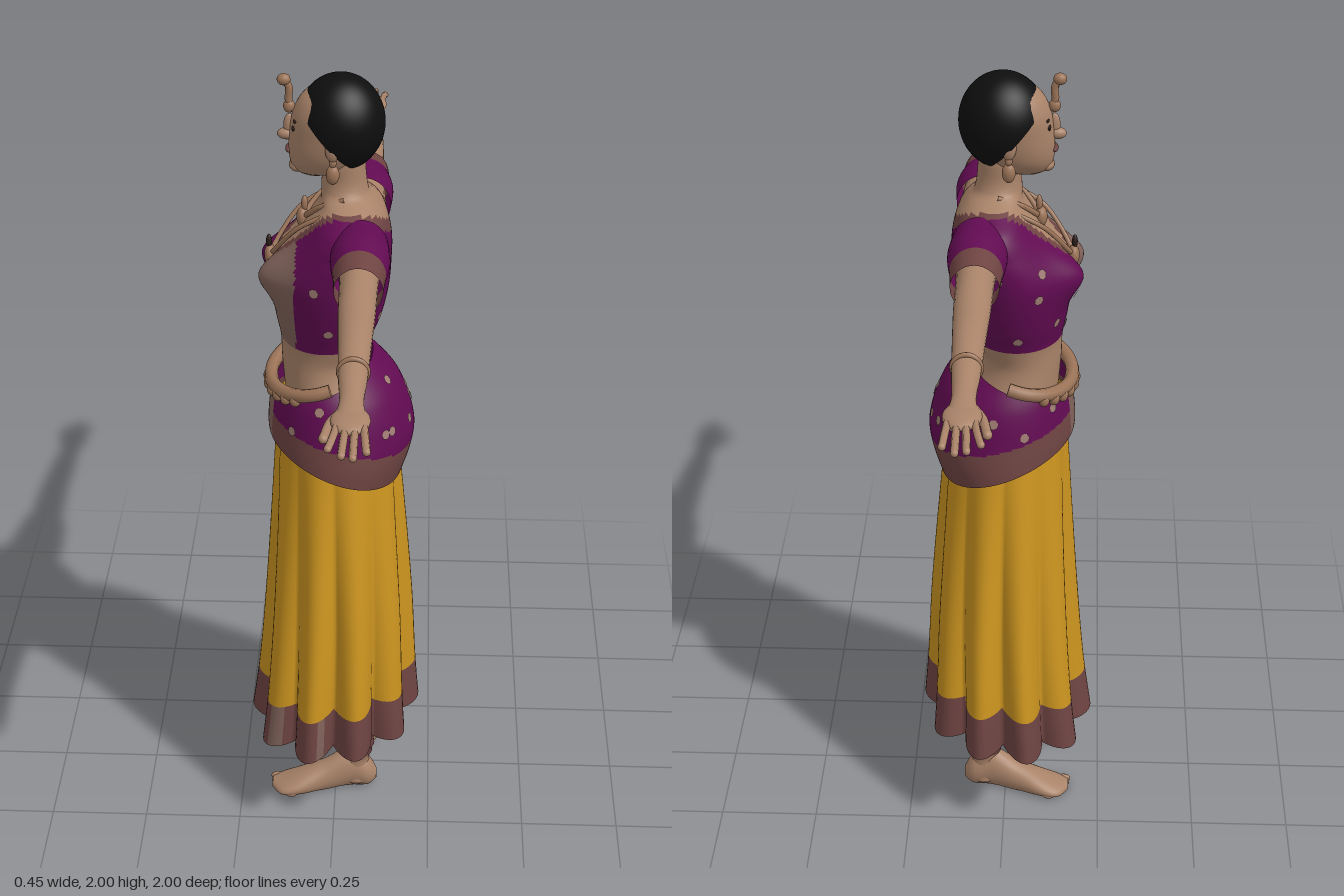
import * as THREE from 'three';

const colours = {
  skin: 0xa98369, purple: 0x620b52, yellow: 0xca931f, brown: 0x6e4442, hair: 0x0e0e0e,
  sheer: 0x80625a, spot: 0xa07c74, ornament: 0x9c7458, dark: 0x2a1d1a,
};
const mats = {};
for (const [name, color] of Object.entries(colours)) {
  mats[name] = new THREE.MeshStandardMaterial({ color, side: THREE.DoubleSide });
  mats[name].name = name;
}
const { sin, cos, abs, PI, exp, max } = Math;

// Smoothly interpolates rows of [position, ...values]
function profile(rows, p) {
  let i = 0;
  while (i < rows.length - 2 && p > rows[i + 1][0]) i++;
  const a = rows[i], b = rows[i + 1], o = rows[max(i - 1, 0)], e = rows[Math.min(i + 2, rows.length - 1)];
  const h = b[0] - a[0], t = THREE.MathUtils.clamp((p - a[0]) / h, 0, 1), t2 = t * t, t3 = t2 * t;
  return a.slice(1).map((v, k) => {
    const m0 = (b[k + 1] - o[k + 1]) / (b[0] - o[0]) * h, m1 = (e[k + 1] - v) / (e[0] - a[0]) * h;
    return (2 * t3 - 3 * t2 + 1) * v + (t3 - 2 * t2 + t) * m0 + (3 * t2 - 2 * t3) * b[k + 1] + (t3 - t2) * m1;
  });
}

// Closed rings joined along t = 0..1; pick chooses the colour of each face
function loft(name, nu, nv, point, pick) {
  const pos = [], faces = {};
  for (let j = 0; j <= nv; j++)
    for (let i = 0; i < nu; i++) pos.push(...point(i / nu * 2 * PI, j / nv));
  for (let j = 0; j < nv; j++) for (let i = 0; i < nu; i++) {
    const u = (i + 0.5) / nu * 2 * PI, t = (j + 0.5) / nv, n = (i + 1) % nu;
    const a = j * nu + i, b = j * nu + n, c = a + nu, d = b + nu;
    const key = typeof pick === 'string' ? pick : pick(u, t, point(u, t));
    (faces[key] ??= []).push(a, b, d, a, d, c);
  }
  const g = new THREE.BufferGeometry(), index = [], list = [];
  g.setAttribute('position', new THREE.Float32BufferAttribute(pos, 3));
  for (const [key, f] of Object.entries(faces)) {
    g.addGroup(index.length, f.length, list.length);
    list.push(mats[key]);
    for (const v of f) index.push(v);
  }
  g.setIndex(index);
  g.computeVertexNormals();
  const m = new THREE.Mesh(g, list);
  m.name = name;
  return m;
}

function solid(name, geo, mat, x = 0, y = 0, z = 0, sx = 1, sy = 1, sz = 1) {
  const m = new THREE.Mesh(geo.scale(sx, sy, sz).translate(x, y, z), mats[mat]);
  m.name = name;
  return m;
}
const ball = (name, mat, x, y, z, sx, sy, sz) =>
  solid(name, new THREE.SphereGeometry(1, 20, 14), mat, x, y, z, sx, sy, sz);
const tube = (name, mat, pts, r, n = 24) => solid(name,
  new THREE.TubeGeometry(new THREE.CatmullRomCurve3(pts.map(p => new THREE.Vector3(...p))), n, r, 8), mat);

// Copy reflected to the other side, with the winding put right
function mirrored(m) {
  const g = m.geometry.clone().scale(-1, 1, 1), ix = g.index;
  for (let i = 0; i < ix.count; i += 3) {
    const a = ix.getX(i);
    ix.setX(i, ix.getX(i + 1));
    ix.setX(i + 1, a);
  }
  const c = new THREE.Mesh(g, m.material);
  c.name = m.name.replace('left', 'right');
  return c;
}

// Horizontal section at y from rows of [y, halfWidth, back, front]
function section(rows, u, y) {
  const [w, b, f] = profile(rows, y);
  return [w * sin(u), y, (f + b) / 2 + (f - b) / 2 * cos(u)];
}

const torsoRows = [[1.2, 0.145, -0.09, 0.13], [1.28, 0.126, -0.06, 0.136], [1.335, 0.135, -0.085, 0.138],
  [1.4, 0.16, -0.11, 0.15], [1.47, 0.182, -0.125, 0.155], [1.53, 0.195, -0.13, 0.15], [1.6, 0.2, -0.13, 0.105],
  [1.66, 0.185, -0.115, 0.06], [1.69, 0.12, -0.095, 0.04], [1.715, 0.062, -0.075, 0.038], [1.8, 0.052, -0.065, 0.035]];
const hipRows = [[0.95, 0.225, -0.158, 0.155], [1.04, 0.222, -0.187, 0.165], [1.1, 0.213, -0.192, 0.172],
  [1.2, 0.192, -0.16, 0.162], [1.26, 0.16, -0.115, 0.15], [1.3, 0.132, -0.07, 0.14]];
const skirtRows = [[0.18, 0.36, -0.225, 0.23], [0.35, 0.345, -0.21, 0.207], [0.6, 0.3, -0.195, 0.185],
  [1, 0.215, -0.158, 0.158], [1.15, 0.18, -0.14, 0.15]];
const headRows = [[1.752, 0.015, 0.03, 0.075], [1.765, 0.04, -0.03, 0.1], [1.8, 0.065, -0.06, 0.113],
  [1.86, 0.08, -0.085, 0.112], [1.92, 0.083, -0.088, 0.1], [1.965, 0.06, -0.06, 0.065], [1.985, 0.01, -0.01, 0.01]];

const torsoPoint = (u, t) => {
  const p = section(torsoRows, u, 1.2 + 0.6 * t);
  if (cos(u) > 0) p[2] += 0.045 * cos(u) * exp(-(((abs(p[0]) - 0.075) / 0.055) ** 2) - ((p[1] - 1.52) / 0.06) ** 2);
  return p;
};
const hipPoint = (u, t) => {
  const low = 1.025 + 0.055 * cos(u), top = 1.245 - 0.04 * cos(u);
  return section(hipRows, u, low + (top - low) * t);
};
const skirtPoint = (u, t) => {
  const hem = 0.22 - 0.02 * cos(u) + 0.045 * sin(u) ** 2;
  const p = section(skirtRows, u, hem + (1.15 - hem) * t);
  const s = 1 - 0.23 * (1 - t) ** 0.8 * (1 - abs(cos(5 * u)));
  return [p[0] * s, p[1], p[2] * s];
};

// Small woven spots laid on a surface
function spots(name, point, list) {
  const g = new THREE.Group();
  g.name = name;
  for (const [u, t] of list) {
    const p = new THREE.Vector3(...point(u, t));
    const du = new THREE.Vector3(...point(u + 0.01, t)).sub(p), dv = new THREE.Vector3(...point(u, t + 0.01)).sub(p);
    const n = du.cross(dv).normalize();
    const m = solid('spot', new THREE.CircleGeometry(0.013, 7), 'spot');
    m.quaternion.setFromUnitVectors(new THREE.Vector3(0, 0, 1), n);
    m.position.copy(p).addScaledVector(n, 0.003);
    g.add(m);
  }
  return g;
}

export function createModel() {
  const body = new THREE.Group();
  const add = (...m) => body.add(...m);
  const pair = m => add(m, mirrored(m));

  // Torso with blouse, neckline border and bare waist
  add(loft('torsoAndBlouse', 112, 90, torsoPoint, (u, t, [x, y, z]) => {
    if (y < 1.342) return 'skin';
    const front = cos(u) > -0.1, ax = abs(x);
    const neck = front ? 1.53 + 1.6 * ax : 1.638 + 0.5 * ax;
    if (y > neck || y > 1.697) return 'skin';
    if (y > neck - (front ? 0.04 : 0.035)) return 'brown';
    return front && x > 0.015 && z > 0.095 && y < 1.63 ? 'sheer' : 'purple';
  }));
  add(spots('blouseSpots', torsoPoint, [[2.7, 0.36], [3.3, 0.3], [3.75, 0.6], [2.5, 0.62], [2.1, 0.5], [4.3, 0.45],
    [1.6, 0.35], [4.8, 0.3], [5.2, 0.5], [5.6, 0.35], [5.9, 0.45], [5.4, 0.6], [1.3, 0.55], [4.6, 0.6], [6, 0.3]]));

  // Skirt, hip wrap and belt
  add(loft('pleatedSkirt', 160, 60, skirtPoint, (u, t) =>
    t > 0.135 ? 'yellow' : abs(u - 5.9) < 0.06 || abs(u - 0.75) < 0.07 || abs(u - 1.4) < 0.04 ? 'sheer' : 'brown'));
  add(loft('hipWrap', 112, 48, hipPoint, (u, t, p) => {
    if (u < 0.4 || u > 5.95) return 'sheer';
    return p[1] > 1.105 + 0.045 * cos(u) ? 'purple' : 'brown';
  }));
  const hipSpots = [];
  for (let i = 0; i < 11; i++) hipSpots.push([0.9 + i * 0.46, 0.55 + 0.17 * ((i * 2) % 3 - 0.2)]);
  add(spots('hipSpots', hipPoint, [...hipSpots, [2.85, 0.5], [3.4, 0.5], [3.15, 0.62], [2.4, 0.52], [3.95, 0.55]]));
  const belt = [];
  for (let i = -8; i <= 8; i++) {
    const p = hipPoint(i * 0.2, 1);
    belt.push([p[0] * 1.02, p[1] + 0.015, p[2] + 0.002]);
  }
  add(tube('waistBelt', 'ornament', belt, 0.017, 60));
  for (const p of belt.slice(3, 14)) add(ball('beltBead', 'ornament', p[0], p[1] - 0.012, p[2] + 0.006, 0.016, 0.018, 0.014));

  // Arms with short banded sleeves
  const armRows = [[0.1, 1.625, 0.05, 0.055], [0.3, 1.612, 0.05, 0.045], [0.45, 1.612, 0.035, 0.042],
    [0.58, 1.608, 0.033, 0.037], [0.72, 1.594, 0.026, 0.031], [0.8, 1.587, 0.02, 0.026], [0.86, 1.582, 0.015, 0.034]];
  const sleeveRows = [[0.12, 1.617, 0.072, 0.065], [0.2, 1.62, 0.07, 0.07], [0.27, 1.614, 0.064, 0.061], [0.335, 1.61, 0.058, 0.056]];
  const limb = (rows, from, to) => (u, t) => {
    const x = from + (to - from) * t, [cy, ry, rz] = profile(rows, x);
    return [x, cy + ry * cos(u), -0.06 + rz * sin(u)];
  };
  pair(loft('leftArm', 28, 32, limb(armRows, 0.1, 0.86), 'skin'));
  pair(loft('leftSleeve', 36, 30, limb(sleeveRows, 0.12, 0.335), (u, t) => (t > 0.66 ? 'brown' : 'purple')));
  pair(solid('leftBracelet', new THREE.TorusGeometry(0.031, 0.006, 8, 28).rotateY(PI / 2), 'ornament', 0.685, 1.597, -0.06));
  pair(ball('leftBraceletCharm', 'ornament', 0.68, 1.562, -0.052, 0.011, 0.014, 0.012));

  // Hands
  pair(ball('leftPalm', 'skin', 0.865, 1.581, -0.06, 0.056, 0.016, 0.042));
  [[0.965, -0.017], [0.992, -0.045], [1, -0.069], [0.975, -0.096]].forEach(([tip, z], i) => {
    const base = -0.034 - i * 0.018;
    pair(tube('leftFinger', 'skin', [[0.875, 1.582, base], [0.93, 1.578, (base + z) / 2], [tip - 0.006, 1.568, z]], 0.0085, 8));
    pair(ball('leftFingertip', 'skin', tip - 0.0075, 1.568, z, 0.0085, 0.0085, 0.0085));
  });
  pair(tube('leftThumb', 'skin', [[0.82, 1.582, -0.045], [0.86, 1.572, -0.018], [0.91, 1.564, -0.006]], 0.0105, 10));
  pair(ball('leftThumbTip', 'skin', 0.91, 1.564, -0.006, 0.012, 0.0105, 0.0105));

  // Legs in gathered trousers, bare feet
  const legRows = [[0.02, 0.035], [0.1, 0.034], [0.12, 0.042], [0.2, 0.048], [0.28, 0.058], [0.8, 0.075]];
  pair(loft('leftLeg', 28, 60, (u, t) => {
    const y = 0.02 + 0.78 * t, r = profile(legRows, y)[0] + (y > 0.11 && y < 0.24 ? 0.003 * sin(y * 190) : 0);
    return [0.09 + r * sin(u), y, -0.055 + 1.05 * r * cos(u)];
  }, (u, t) => (t > 0.115 ? 'brown' : 'skin')));
  const footRows = [[-0.11, 0.088, 0.03, 0.012, 0.014], [-0.09, 0.089, 0.04, 0.032, 0.042], [-0.04, 0.092, 0.055, 0.036, 0.06],
    [0.03, 0.105, 0.035, 0.04, 0.045], [0.1, 0.12, 0.022, 0.05, 0.028], [0.145, 0.122, 0.014, 0.046, 0.016], [0.17, 0.112, 0.01, 0.02, 0.01]];
  pair(loft('leftFoot', 28, 28, (u, t) => {
    const z = -0.11 + 0.28 * t, [cx, cy, rx, ry] = profile(footRows, z);
    return [cx - rx * sin(u), max(0, cy + ry * cos(u)), z];
  }, 'skin'));
  for (let i = 0; i < 5; i++) pair(ball('leftToe', 'skin', 0.088 + i * 0.018, 0.011, 0.158 - i * i * 0.0025, 0.011, 0.011, 0.018));

  // Head, hair and face
  add(loft('head', 48, 36, (u, t) => section(headRows, u, 1.752 + 0.233 * t), 'skin'));
  const hair = new THREE.SphereGeometry(1, 48, 32, 0, 2 * PI, 0, 0.63 * PI).rotateX(-0.8);
  add(solid('hair', hair, 'hair', 0, 1.884, -0.008, 0.1, 0.116, 0.104));
  add(ball('nose', 'skin', 0, 1.852, 0.119, 0.015, 0.014, 0.022));
  add(ball('noseBridge', 'skin', 0, 1.872, 0.112, 0.009, 0.03, 0.014));
  add(ball('chin', 'skin', 0, 1.775, 0.094, 0.026, 0.016, 0.02));
  add(ball('lips', 'brown', 0, 1.816, 0.114, 0.022, 0.008, 0.008));
  pair(ball('leftEye', 'dark', 0.032, 1.878, 0.101, 0.014, 0.006, 0.004));
  pair(ball('leftBrow', 'dark', 0.034, 1.897, 0.097, 0.018, 0.003, 0.004));
  pair(ball('leftEar', 'skin', 0.08, 1.845, 0.008, 0.012, 0.03, 0.018));
  pair(ball('leftEarring', 'ornament', 0.077, 1.782, 0.008, 0.014, 0.024, 0.016));
  pair(ball('leftEarStud', 'ornament', 0.078, 1.812, 0.008, 0.009, 0.012, 0.009));

  // Forehead ornament and necklaces
  add(tube('foreheadOrnament', 'ornament', [[0, 1.91, 0.105], [0, 1.935, 0.113], [0, 1.965, 0.112], [0, 1.985, 0.122]], 0.009));
  add(ball('foreheadJewel', 'ornament', 0, 1.985, 0.124, 0.014, 0.014, 0.016));
  add(ball('foreheadDrop', 'ornament', 0, 1.92, 0.112, 0.012, 0.016, 0.014));
  add(tube('shortNecklace', 'ornament', [[-0.065, 1.712, -0.02], [-0.045, 1.685, 0.04], [0, 1.645, 0.078], [0.045, 1.685, 0.04], [0.065, 1.712, -0.02]], 0.007));
  add(ball('shortPendant', 'ornament', 0, 1.64, 0.083, 0.02, 0.025, 0.015));
  add(ball('shortPendantTop', 'ornament', 0, 1.675, 0.078, 0.009, 0.02, 0.008));
  add(tube('longNecklace', 'ornament', [[-0.08, 1.7, -0.02], [-0.065, 1.64, 0.09], [0, 1.545, 0.16], [0.065, 1.64, 0.09], [0.08, 1.7, -0.02]], 0.006));
  add(ball('longPendant', 'ornament', 0, 1.54, 0.162, 0.022, 0.026, 0.014));
  add(ball('longPendantTip', 'dark', 0, 1.575, 0.164, 0.008, 0.018, 0.007));

  // The figure faces -x with its arms along z
  body.name = 'dancer';
  body.rotation.y = -PI / 2;
  const model = new THREE.Group();
  model.name = 'model';
  model.add(body);
  return model;
}
